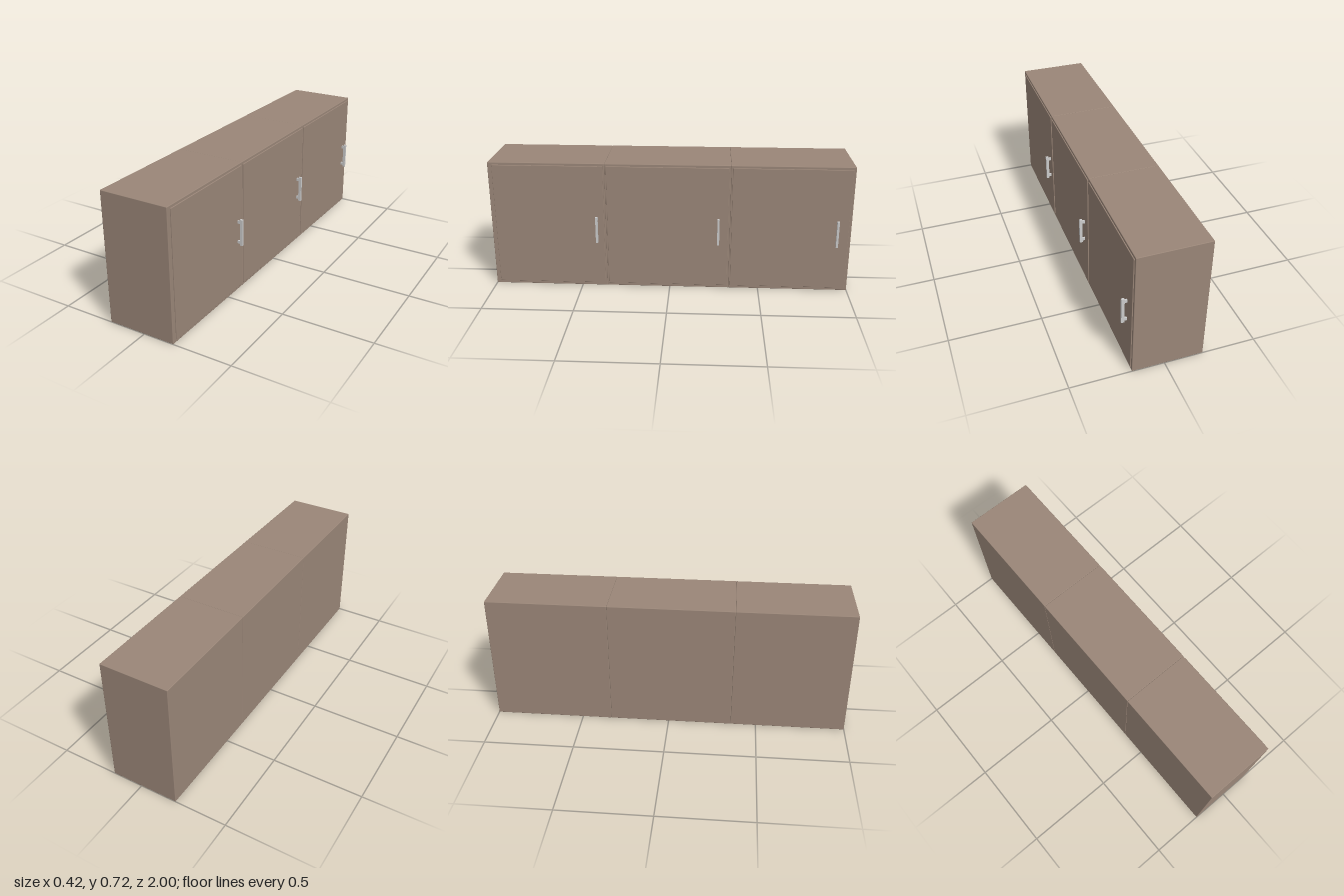
import * as THREE from 'three';
import { RoundedBoxGeometry } from 'three/addons/geometries/RoundedBoxGeometry.js';

const wood = new THREE.MeshStandardMaterial({ color: 0x9a8678 });
const metal = new THREE.MeshStandardMaterial({ color: 0xcccccc });

// Box given by its [min, max] extents, with optional rounded edges
function block(name, [x0, x1], [y0, y1], [z0, z1], material, radius = 0) {
  const size = [x1 - x0, y1 - y0, z1 - z0];
  const geometry = radius
    ? new RoundedBoxGeometry(...size, 2, radius)
    : new THREE.BoxGeometry(...size);
  const mesh = new THREE.Mesh(geometry, material);
  mesh.name = name;
  mesh.position.set((x0 + x1) / 2, (y0 + y1) / 2, (z0 + z1) / 2);
  return mesh;
}

// Bar handle on two short posts
function makeHandle(z) {
  const handle = new THREE.Group();
  handle.name = 'handle';
  handle.add(block('handleBar', [0.193, 0.209], [0.274, 0.424], [z - 0.006, z + 0.006], metal));
  for (const y of [0.292, 0.407]) {
    handle.add(block('handlePost', [0.177, 0.195], [y - 0.008, y + 0.008], [z - 0.005, z + 0.005], metal));
  }
  return handle;
}

export function createModel() {
  const model = new THREE.Group();
  model.name = 'wallCabinet';

  // Three cabinets side by side, each with a door and a handle
  const units = [
    { body: [0.357, 1], door: [0.366, 0.976], handle: 0.405 },
    { body: [-0.333, 0.357], door: [-0.324, 0.348], handle: -0.27 },
    { body: [-1, -0.333], door: [-0.986, -0.342], handle: -0.922 },
  ];
  for (const { body, door, handle } of units) {
    const unit = new THREE.Group();
    unit.name = 'cabinetUnit';
    unit.add(block('cabinetBody', [-0.21, 0.174], [0, 0.724], body, wood, 0.003));
    unit.add(block('door', [0.165, 0.179], [0.017, 0.71], door, wood, 0.002));
    unit.add(makeHandle(handle));
    model.add(unit);
  }
  return model;
}
